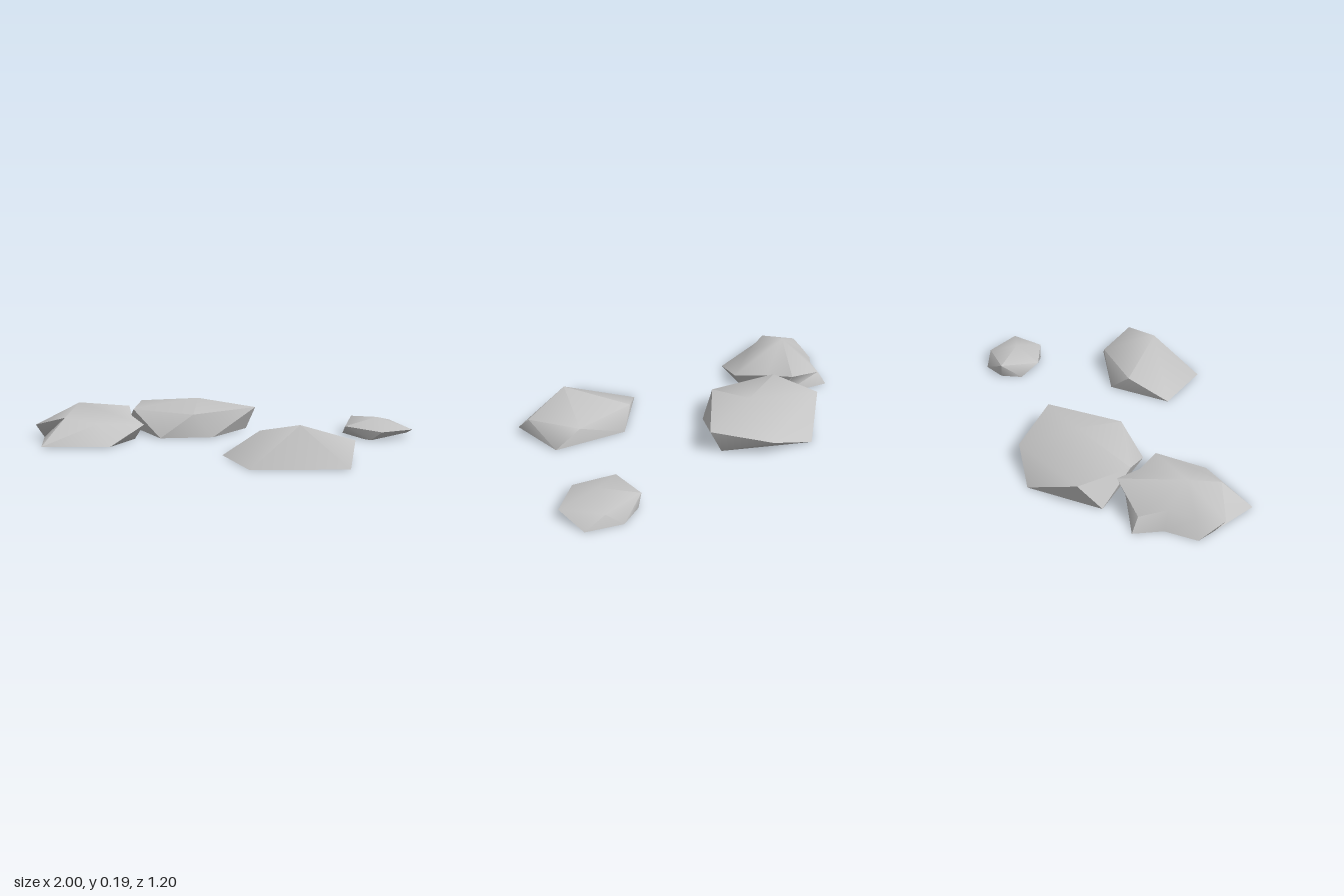
import * as THREE from 'three';
import { toCreasedNormals } from 'three/addons/utils/BufferGeometryUtils.js';
import { ConvexGeometry } from 'three/addons/geometries/ConvexGeometry.js';

const stone = new THREE.MeshStandardMaterial({ color: 0xc4c4c4 });
stone.name = 'grey stone';

// Softens the shallow edges and keeps the steep ones sharp
function stoneMesh(name, geometry, creaseDegrees) {
  const mesh = new THREE.Mesh(
    toCreasedNormals(geometry, THREE.MathUtils.degToRad(creaseDegrees)), stone);
  mesh.name = name;
  return mesh;
}

// A convex stone: ground outline [x, z] plus raised corners [x, y, z]
function convexRock(name, creaseDegrees, ground, raised) {
  const points = [
    ...ground.map(([x, z]) => new THREE.Vector3(x, 0, z)),
    ...raised.map((p) => new THREE.Vector3(...p)),
  ];
  return stoneMesh(name, new ConvexGeometry(points), creaseDegrees);
}

// A notched stone: ground ring, shoulder ring of equal count, and a peak
function ringRock(name, creaseDegrees, ground, shoulder, peak) {
  const n = ground.length;
  const positions = [
    ...ground.flatMap(([x, z]) => [x, 0, z]),
    ...shoulder.flat(),
    ...peak,
    peak[0], 0, peak[2],
  ];
  const index = [];
  for (let i = 0; i < n; i++) {
    const j = (i + 1) % n;
    index.push(i, j, n + j, i, n + j, n + i); // side
    index.push(n + i, n + j, 2 * n); // top
    index.push(j, i, 2 * n + 1); // underside
  }
  const geometry = new THREE.BufferGeometry();
  geometry.setAttribute('position', new THREE.Float32BufferAttribute(positions, 3));
  geometry.setIndex(index);
  return stoneMesh(name, geometry, creaseDegrees);
}

export function createModel() {
  const group = new THREE.Group();
  group.name = 'flatRocks';

  // Largest slab, with an overhanging right edge
  group.add(convexRock('largeRock', 47,
    [[-0.65, -0.29], [-0.33, 0.03], [-0.06, -0.08], [0.05, -0.38], [-0.38, -0.6]],
    [[-0.21, 0.18, -0.29], [0.11, 0.13, -0.36], [-0.16, 0.13, -0.035],
      [-0.54, 0.128, -0.11], [-0.6, 0.13, -0.4], [-0.13, 0.085, -0.58]]));

  // Side rock with a narrower lobe at the back
  group.add(ringRock('sideRock', 60,
    [[-0.86, 0.41], [-0.51, 0.31], [-0.46, 0.08], [-0.6, -0.1], [-0.58, -0.15],
      [-0.86, -0.21], [-0.89, -0.06], [-1, 0.07], [-0.96, 0.17]],
    [[-0.785, 0.135, 0.27], [-0.62, 0.1, 0.21], [-0.41, 0.08, 0.07], [-0.53, 0.1, -0.06],
      [-0.6, 0.13, -0.2], [-0.83, 0.07, -0.17], [-0.86, 0.1, -0.03], [-0.94, 0.08, 0.08],
      [-0.99, 0.075, 0.21]],
    [-0.78, 0.19, 0.09]));

  // Front rock
  group.add(convexRock('frontRock', 60,
    [[0.11, 0.33], [0.32, 0.595], [0.78, 0.45], [0.73, 0.14], [0.35, 0.07]],
    [[0.52, 0.19, 0.39], [0.78, 0.115, 0.32], [0.26, 0.1, 0.145], [0.6, 0.1, 0.105]]));

  // Small rock with an undercut front
  group.add(convexRock('smallRock', 60,
    [[0.61, -0.4], [0.75, -0.26], [0.79, -0.24], [0.96, -0.51], [0.78, -0.57], [0.66, -0.51]],
    [[0.8, 0.105, -0.38], [1, 0.05, -0.35], [0.85, 0.05, -0.225],
      [0.64, 0.06, -0.29], [0.64, 0.08, -0.51], [0.855, 0.066, -0.53]]));

  return group;
}
